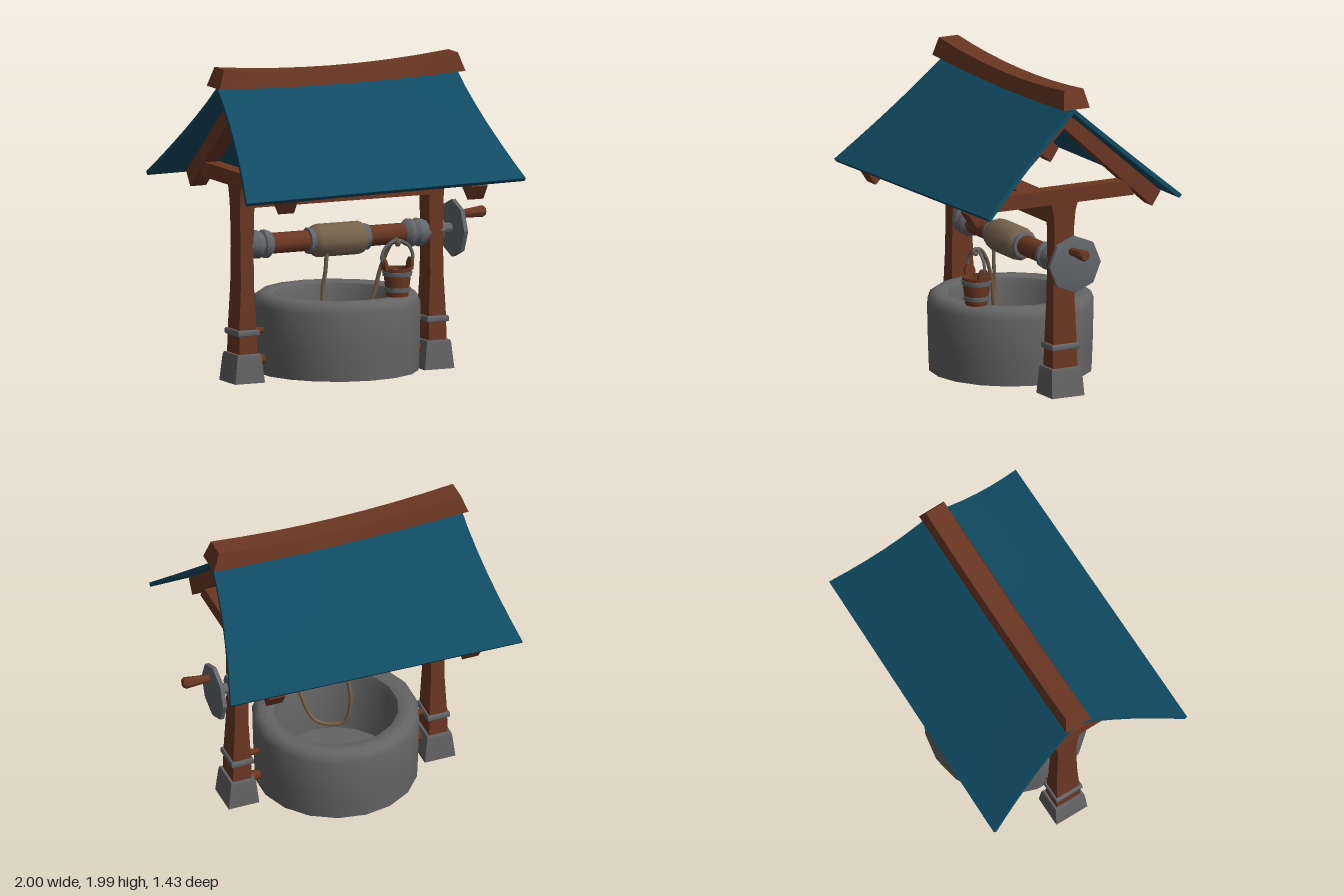
import * as THREE from 'three';
import { toCreasedNormals } from 'three/addons/utils/BufferGeometryUtils.js';

const mat = (name, color) => {
  const m = new THREE.MeshStandardMaterial({ color });
  m.name = name;
  return m;
};

export function createModel() {
  const wood = mat('wood', 0x6b3723);
  const roofBlue = mat('roofBlue', 0x104b63);
  const stone = mat('stone', 0x646464);
  const metal = mat('metal', 0x63666a);
  const ropeTan = mat('rope', 0x77634d);

  const model = new THREE.Group();
  model.name = 'well';
  const CX = -0.02; // the frame sits slightly off centre, balanced by the crank

  const add = (name, geometry, material, x = 0, y = 0, z = 0, parent = model) => {
    const mesh = new THREE.Mesh(geometry, material);
    mesh.name = name;
    mesh.position.set(x, y, z);
    parent.add(mesh);
    return mesh;
  };

  // Move every vertex of a geometry by a rule
  const warp = (geo, rule) => {
    const p = geo.attributes.position;
    const v = new THREE.Vector3();
    for (let i = 0; i < p.count; i++) {
      v.fromBufferAttribute(p, i);
      rule(v);
      p.setXYZ(i, v.x, v.y, v.z);
    }
    geo.computeVertexNormals();
    return geo;
  };

  // Square post from rows of [y, half width, half depth]
  const post = (rows) => {
    const n = rows.length - 1;
    return warp(new THREE.BoxGeometry(2, 1, 2, 1, n, 1), (v) => {
      const [y, hx, hz] = rows[Math.round((v.y + 0.5) * n)];
      v.set(v.x * hx, y, v.z * hz);
    });
  };

  // Turned part from [radius, height] pairs, listed upwards
  const turned = (profile, sides) => toCreasedNormals(
    new THREE.LatheGeometry(profile.map(([r, y]) => new THREE.Vector2(r, y)), sides), 0.7);

  // Turned part lying along x, from [x, radius] pairs
  const turnedX = (profile, sides) =>
    turned([[0, profile[0][0]], ...profile.map(([x, r]) => [r, x]), [0, profile.at(-1)[0]]], sides)
      .rotateZ(-Math.PI / 2);

  // Stone wall with rounded rim
  add('wellWall', turned([
    [0, 0.03], [0.515, 0.03], [0.522, 0.2], [0.528, 0.46], [0.512, 0.505], [0.48, 0.527], [0.43, 0.53],
    [0.395, 0.515], [0.378, 0.47], [0.37, 0.08], [0, 0.08],
  ], 18), stone, CX, 0, -0.005);

  // Rafter pair outline, in z and y
  const rafterShape = new THREE.Shape([
    [-0.07, 1.775], [-0.685, 1.24], [-0.625, 1.15], [0, 1.72],
    [0.625, 1.15], [0.685, 1.24], [0.07, 1.775],
  ].map(([z, y]) => new THREE.Vector2(z, y)));

  // Both side frames
  for (const s of [-1, 1]) {
    const frame = new THREE.Group();
    frame.name = s > 0 ? 'leftFrame' : 'rightFrame';
    frame.position.x = CX + s * 0.66;
    model.add(frame);

    add('footing', post([[0, 0.103, 0.115], [0.165, 0.084, 0.107], [0.182, 0.078, 0.1]]), stone, 0, 0, 0, frame);
    add('leg', post([
      [0.15, 0.063, 0.088], [0.35, 0.059, 0.083], [0.6, 0.046, 0.076], [0.85, 0.045, 0.07],
      [1.08, 0.05, 0.07], [1.18, 0.053, 0.078], [1.26, 0.053, 0.1],
    ]), wood, 0, 0, 0, frame);
    add('legBand', post([
      [0.296, 0.068, 0.092], [0.303, 0.075, 0.098], [0.327, 0.075, 0.098], [0.335, 0.068, 0.092],
    ]), metal, 0, 0, 0, frame);
    add('crossBeam', post([[1.235, 0.05, 0.5], [1.285, 0.05, 0.47], [1.33, 0.05, 0.44]]), wood, 0, 0, 0, frame);

    const rafters = new THREE.ExtrudeGeometry(rafterShape, { depth: 0.11, bevelEnabled: false });
    rafters.translate(0, 0, -0.055).rotateY(-Math.PI / 2);
    add('rafters', rafters, wood, 0, 0, 0, frame);

    // Pegs joining leg and wall
    for (const [y, r] of [[0.13, 0.032], [0.315, 0.02]]) {
      const peg = new THREE.CylinderGeometry(r, r, 0.18, 8).rotateZ(Math.PI / 2);
      add('wallPeg', peg, wood, -s * 0.11, y, 0, frame);
    }

    // Axle bearing, bulge towards the leg
    const bearing = [[0.44, 0.065], [0.455, 0.082], [0.475, 0.092], [0.5, 0.09], [0.51, 0.076],
      [0.535, 0.092], [0.565, 0.088], [0.61, 0.07]];
    const side = s > 0 ? bearing : bearing.map(([x, r]) => [-x, r]).reverse();
    add('axleBearing', turnedX(side.map(([x, r]) => [x + s * 0.03, r]), 10), metal, CX - s * 0.01, 0.86, 0);
  }
  add('topBeam', new THREE.BoxGeometry(1.26, 0.125, 0.15), wood, CX, 1.168, 0);

  // Roof panels, flaring towards the eaves
  for (const s of [1, -1]) {
    const panel = warp(new THREE.BoxGeometry(2, 1, 1, 8, 1, 6), (v) => {
      const u = v.x, t = v.z + 0.5, depth = (0.5 - v.y) * 0.027;
      const half = 0.835 + 0.143 * Math.pow(t, 1.6);
      v.set(
        u * half,
        1.875 - 0.615 * t - 0.02 * (1 - u * u) * (1 - t) + 0.011 * u * s * t - depth * 0.75,
        0.705 * t - 0.012 * u * s * t - depth * 0.66);
    });
    if (s < 0) panel.rotateY(Math.PI);
    add(s > 0 ? 'frontRoof' : 'backRoof', panel, roofBlue, CX, 0, 0);
  }

  // Sagging ridge cap with slanted ends
  add('ridgeCap', warp(new THREE.BoxGeometry(2, 1, 2, 8, 1, 1), (v) => {
    const u = v.x, sag = 1 - u * u;
    if (v.y > 0) v.set(u * 0.815, 1.99 - 0.045 * sag, v.z * 0.068);
    else v.set(u * 0.857, 1.872 - 0.022 * sag, v.z * 0.092);
  }), wood, CX, 0, -0.01);

  // Axle, rope drum and collars
  add('axle', turnedX([[-0.56, 0.066], [0.52, 0.066]], 10), wood, 0, 0.86, 0);
  add('ropeDrum', turnedX([
    [-0.2, 0.08], [-0.185, 0.095], [-0.16, 0.106], [0.125, 0.106], [0.15, 0.095], [0.165, 0.08],
  ], 12), ropeTan, 0, 0.855, 0);
  for (const x of [-0.21, 0.17]) {
    add('drumCollar', turnedX([
      [-0.022, 0.07], [-0.018, 0.084], [0.018, 0.084], [0.022, 0.07],
    ], 10), metal, x, 0.857, 0);
  }

  // Crank wheel and handle
  add('crankHub', turnedX([
    [0.67, 0.085], [0.705, 0.08], [0.715, 0.035], [0.79, 0.03],
  ], 8), metal, 0, 0.87, -0.01);
  add('crankWheel', turnedX([
    [0.778, 0.13], [0.785, 0.182], [0.812, 0.182], [0.824, 0.125],
  ], 8), metal, 0, 0.868, -0.012);
  const handle = add('crankHandle', turnedX([
    [0, 0.026], [0.08, 0.03], [0.165, 0.038], [0.182, 0.028],
  ], 8), wood, 0.818, 0.957, 0.018);
  handle.rotation.z = 0.04;

  // Bucket standing on the rim
  const bucket = new THREE.Group();
  bucket.name = 'bucket';
  bucket.position.set(0.22, 0.53, 0.37);
  model.add(bucket);
  add('bucketBody', turned([
    [0, 0], [0.07, 0], [0.092, 0.18], [0.078, 0.18], [0.062, 0.03], [0, 0.03],
  ], 10), wood, 0, 0, 0, bucket);
  for (const [y, r] of [[0.03, 0.08], [0.13, 0.093]]) {
    add('bucketHoop', turned([
      [r - 0.02, y], [r, y], [r + 0.003, y + 0.028], [r - 0.02, y + 0.028],
    ], 10), metal, 0, 0, 0, bucket);
  }
  for (const s of [-1, 1]) {
    const ear = add('bucketEar', post([
      [0, 0.01, 0.036], [0.045, 0.01, 0.036], [0.075, 0.01, 0.018],
    ]), wood, s * 0.084, 0.167, 0, bucket);
    ear.rotation.z = -s * 0.14;
  }
  const bail = new THREE.CatmullRomCurve3([
    [-0.092, 0.205], [-0.108, 0.245], [-0.09, 0.3], [-0.045, 0.34], [0, 0.352],
    [0.045, 0.34], [0.09, 0.3], [0.108, 0.245], [0.092, 0.205],
  ].map(([x, y]) => new THREE.Vector3(x, y, 0)));
  add('bucketHandle', new THREE.TubeGeometry(bail, 24, 0.011, 6), metal, 0, 0, 0, bucket);

  // Rope from the drum, down the well and back up to the bucket
  const ropePath = new THREE.CatmullRomCurve3([
    [-0.12, 0.8, 0.06], [-0.125, 0.68, 0.055], [-0.14, 0.5, 0.04], [-0.1, 0.32, 0.07], [0.05, 0.32, 0.15],
    [0.13, 0.5, 0.2], [0.165, 0.68, 0.235], [0.195, 0.82, 0.29], [0.21, 0.88, 0.34],
    [0.22, 0.885, 0.385], [0.22, 0.862, 0.395], [0.22, 0.855, 0.365],
  ].map((p) => new THREE.Vector3(...p)));
  add('rope', new THREE.TubeGeometry(ropePath, 60, 0.013, 6), ropeTan);

  return model;
}
